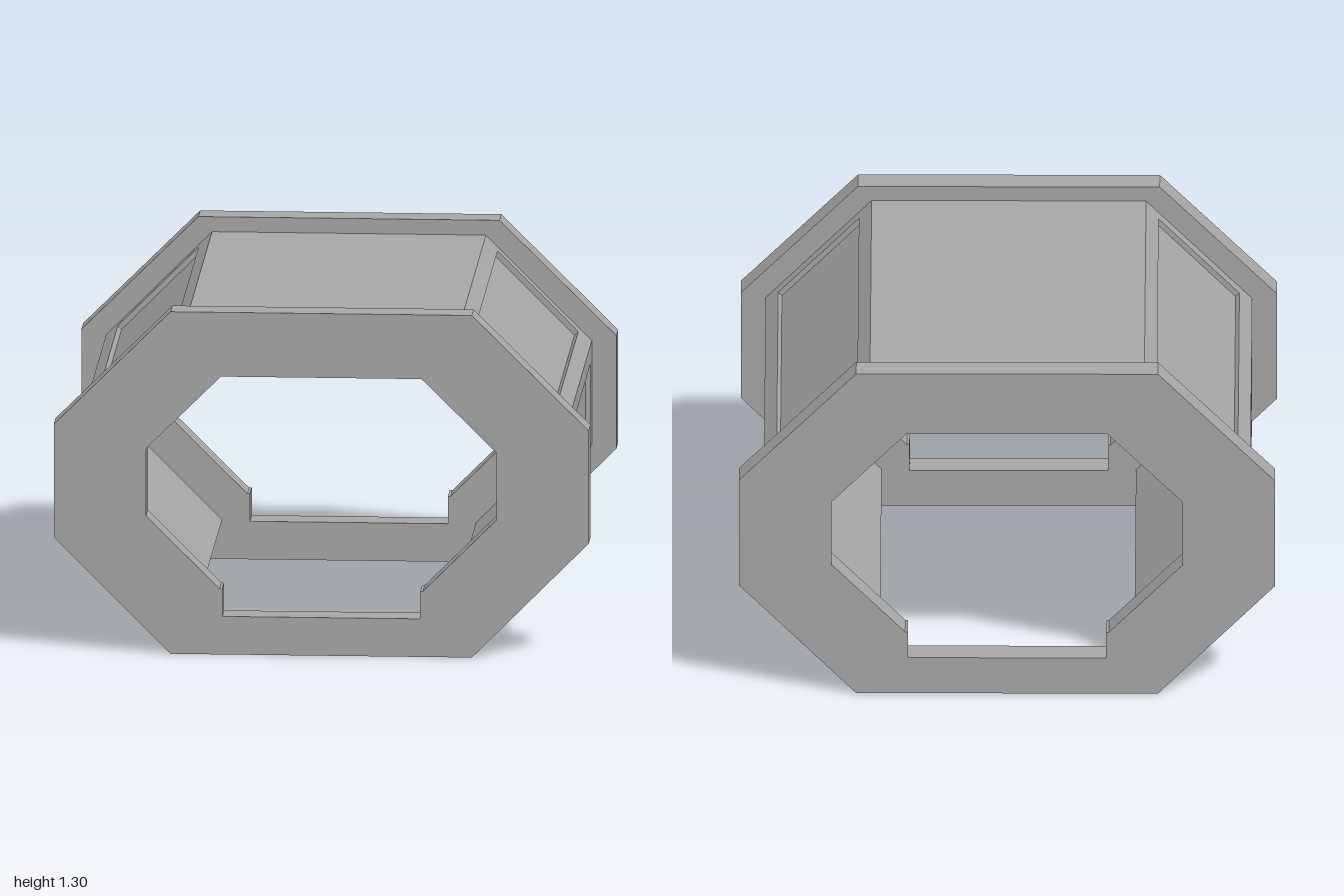
import * as THREE from 'three';

const END = 0.91, INNER = 0.8;   // outer and inner z of the end frames
const T = 0.09;                  // wall thickness
const RECESS = 0.02;             // depth of the panel recesses
const MITRE = T * Math.tan(Math.PI / 8);

// Prism with the cross-section pts (x, y), running from z0 to z1
function prism(shape, z0, z1) {
  const geo = new THREE.ExtrudeGeometry(shape, { depth: z1 - z0, bevelEnabled: false });
  return geo.translate(0, 0, z0);
}

function shapeOf(pts) {
  return new THREE.Shape(pts.map(([x, y]) => new THREE.Vector2(x, y)));
}

// Closes a half outline (bottom to top, +x side) with its mirror image
function mirrored(half) {
  return [...half, ...half.map(([x, y]) => [-x, y]).reverse()];
}

export function createModel() {
  const root = new THREE.Group();
  root.name = 'corridorSection';
  const grey = new THREE.MeshStandardMaterial({ color: 0xa6a6a6 });
  grey.name = 'plain grey';

  const add = (parent, name, shape, z0, z1) => {
    const mesh = new THREE.Mesh(prism(shape, z0, z1), grey);
    mesh.name = name;
    parent.add(mesh);
  };

  // Octagonal end frames, with a doorway that drops to a flat sill
  const frame = shapeOf(mirrored([[0.563, 0], [1, 0.44], [1, 0.87], [0.563, 1.305]]));
  const doorway = mirrored([[0.37, 0.145], [0.37, 0.25], [0.38, 0.25], [0.655, 0.525], [0.655, 0.782], [0.375, 1.06]]);
  frame.holes.push(new THREE.Path(doorway.map(([x, y]) => new THREE.Vector2(x, y))));
  add(root, 'frontFrame', frame, INNER, END);
  add(root, 'backFrame', frame, -END, -INNER);

  // Mitred wall between outer corners a and b; panel = { margin, z } cuts a
  // recess into both of its faces
  function wall(name, a, b, panel) {
    const group = new THREE.Group();
    group.name = name;
    root.add(group);
    const len = Math.hypot(b[0] - a[0], b[1] - a[1]);
    const ux = (b[0] - a[0]) / len, uy = (b[1] - a[1]) / len;
    // s runs along the wall, d goes inward
    const section = (...sd) => shapeOf(sd.map(([s, d]) => [a[0] + ux * s - uy * d, a[1] + uy * s + ux * d]));

    if (!panel) {
      add(group, name + 'Slab', section([0, 0], [len, 0], [len - MITRE, T], [MITRE, T]), -INNER, INNER);
      return;
    }
    const s0 = panel.margin, s1 = len - panel.margin;
    add(group, name + 'FirstRail', section([0, 0], [s0, 0], [s0, T], [MITRE, T]), -INNER, INNER);
    add(group, name + 'SecondRail', section([s1, 0], [len, 0], [len - MITRE, T], [s1, T]), -INNER, INNER);
    const post = section([s0, 0], [s1, 0], [s1, T], [s0, T]);
    add(group, name + 'FrontPost', post, panel.z, INNER);
    add(group, name + 'BackPost', post, -INNER, -panel.z);
    const inset = section([s0, RECESS], [s1, RECESS], [s1, T - RECESS], [s0, T - RECESS]);
    add(group, name + 'Panel', inset, -panel.z, panel.z);
  }

  // Seven walls round the octagon; the underside stays open
  const c = mirrored([[0.512, 0.06], [0.908, 0.458], [0.908, 0.85], [0.512, 1.248]]);
  const slope = { margin: 0.067, z: 0.743 };
  const side = { margin: 0.07, z: 0.73 };
  wall('lowerLeftWall', c[0], c[1]);
  wall('leftWall', c[1], c[2], side);
  wall('upperLeftWall', c[2], c[3], slope);
  wall('roof', c[3], c[4]);
  wall('upperRightWall', c[4], c[5], slope);
  wall('rightWall', c[5], c[6], side);
  wall('lowerRightWall', c[6], c[7]);

  return root;
}
